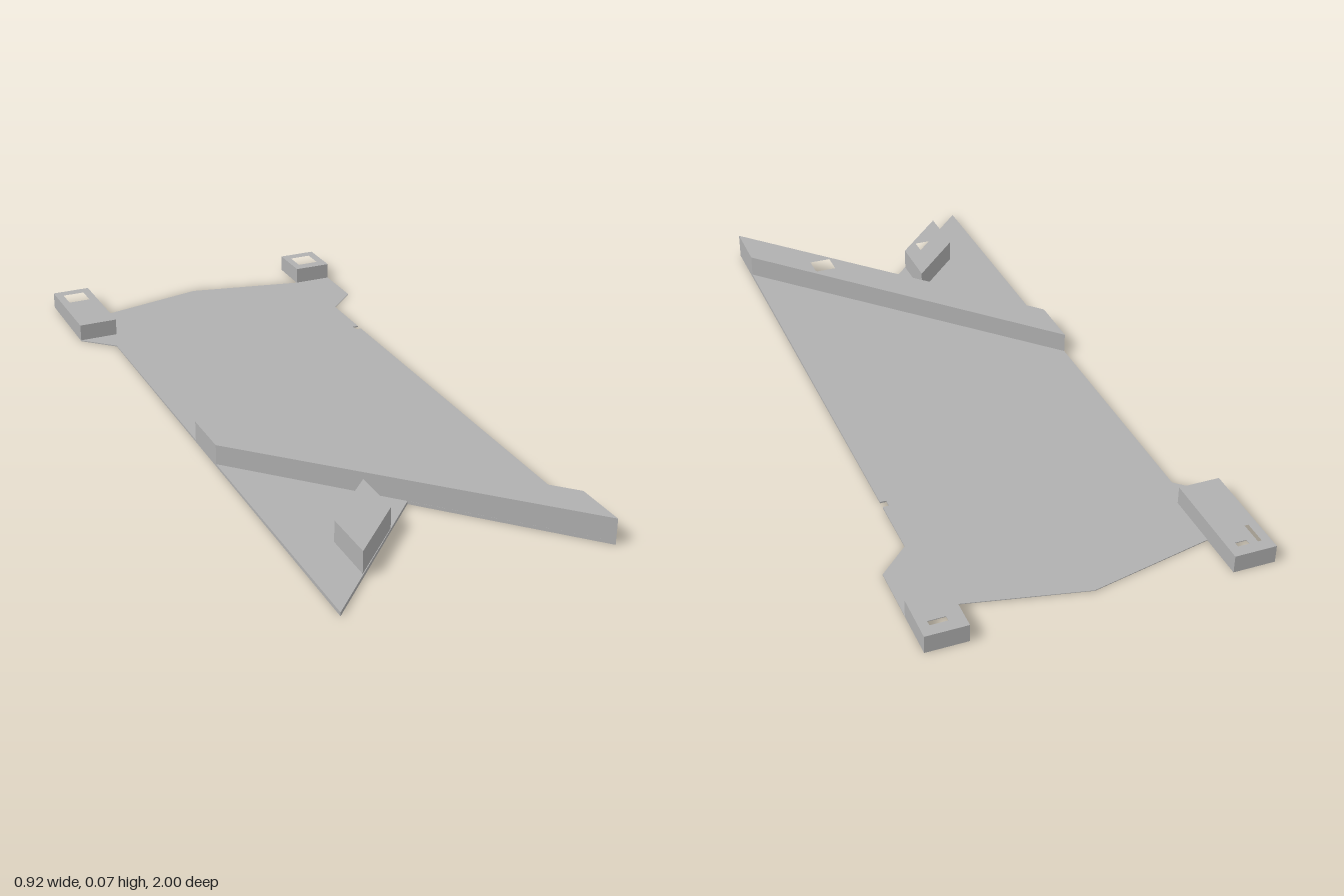
import * as THREE from 'three';

// Prism over an [x, z] outline with square through-holes; its top slopes along z.
function slopedPrism(name, outline, holes, bottom, topAt, material) {
  const toVectors = (points) => points.map(([x, z]) => new THREE.Vector2(x, -z));
  const shape = new THREE.Shape(toVectors(outline));
  for (const [x, z, size] of holes) {
    const h = size / 2;
    shape.holes.push(new THREE.Path(toVectors([[x - h, z - h], [x + h, z - h], [x + h, z + h], [x - h, z + h]])));
  }
  const geometry = new THREE.ExtrudeGeometry(shape, { depth: 1, bevelEnabled: false });
  geometry.rotateX(-Math.PI / 2);
  const p = geometry.attributes.position;
  for (let i = 0; i < p.count; i++) p.setY(i, p.getY(i) > 0.5 ? topAt(p.getZ(i)) : bottom);
  geometry.computeVertexNormals();
  const mesh = new THREE.Mesh(geometry, material);
  mesh.name = name;
  return mesh;
}

export function createModel() {
  const model = new THREE.Group();
  model.name = 'mountingPlate';
  const grey = new THREE.MeshStandardMaterial({ color: 0xb0b0b0 });
  grey.name = 'grey';

  const plateTop = (z) => 0.006 + 0.0045 * z;
  const blockTop = (z) => 0.0615 + 0.0125 * z;

  // Square mounting holes: [x, z, size]
  const backRight = [-0.403, -0.935, 0.066];
  const backLeft = [0.4, -0.935, 0.066];
  const frontRight = [-0.179, 0.714, 0.062];
  const frontLeft = [0.174, 0.714, 0.062];

  // Thin wedge-shaped plate with forked front, peaked back and a small side nick
  const plate = [
    [0, 0.61], [0.372, 0.995], [0.372, -0.43], [0.355, -0.43], [0.355, -0.452], [0.372, -0.452],
    [0.372, -0.622], [0.458, -0.705], [0.458, -1], [0.345, -1], [0.345, -0.867],
    [0, -0.942], [-0.345, -0.867], [-0.345, -1], [-0.46, -1], [-0.46, -0.705],
    [-0.372, -0.622], [-0.372, 1],
  ];
  model.add(slopedPrism('plate', plate, [backRight, backLeft, frontRight, frontLeft], 0, plateTop, grey));

  // Raised pads and the diagonal bar, all on the plate
  const raised = [
    ['diagonalBar', [[-0.372, 0.07], [0.372, 0.842], [0.372, 0.995], [-0.372, 0.224]], frontLeft],
    ['frontPad', [[-0.255, 0.715], [-0.1, 0.556], [-0.1, 0.713], [-0.255, 0.874]], frontRight],
    ['rightBackPad', [[-0.46, -1], [-0.345, -1], [-0.345, -0.706], [-0.46, -0.706]], backRight],
    ['leftBackPad', [[0.345, -1], [0.458, -1], [0.458, -0.867], [0.345, -0.867]], backLeft],
  ];
  for (const [name, outline, hole] of raised) {
    model.add(slopedPrism(name, outline, [hole], 0.001, blockTop, grey));
  }
  return model;
}
